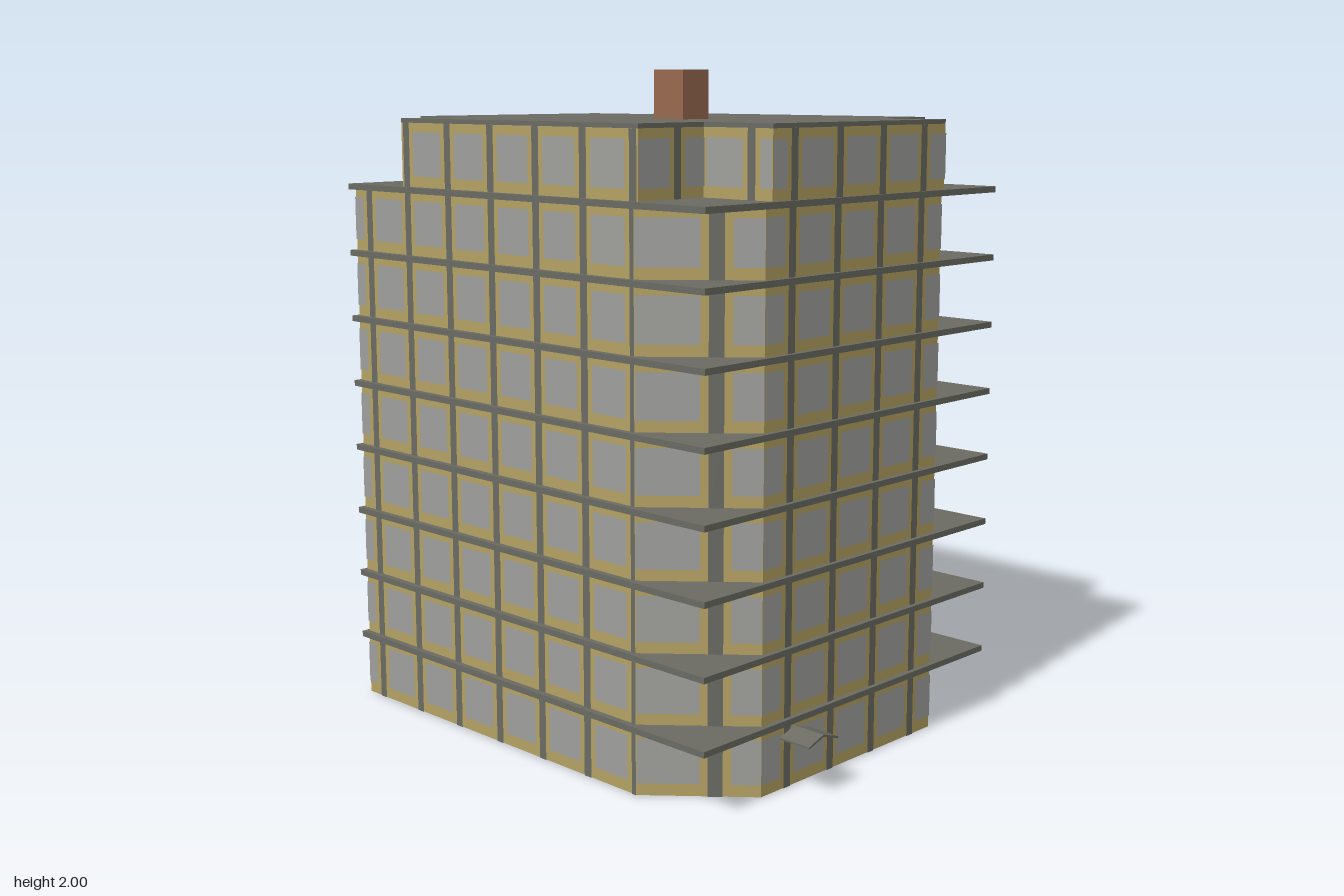
import * as THREE from 'three';

export function createModel() {
  const model = new THREE.Group();
  const mat = (name, color) => {
    const m = new THREE.MeshStandardMaterial({ color });
    m.name = name;
    return m;
  };
  const ochre = mat('ochre wall', 0xb5a264);
  const glass = mat('window grey', 0xa0a09d);
  const grey = mat('concrete grey', 0x6b6b64);
  const brick = mat('brick', 0x9a6a50);

  const add = (geometry, material, name, parent = model) => {
    const mesh = new THREE.Mesh(geometry, material);
    mesh.name = name;
    parent.add(mesh);
    return mesh;
  };
  const box = (x0, x1, y0, y1, z0, z1, material, name) =>
    add(new THREE.BoxGeometry(x1 - x0, y1 - y0, z1 - z0), material, name)
      .position.set((x0 + x1) / 2, (y0 + y1) / 2, (z0 + z1) / 2);

  // Upright prism over a floor plan of [x, z] points
  const prism = (plan, y0, y1, material, name) => {
    const shape = new THREE.Shape(plan.map(([x, z]) => new THREE.Vector2(x, -z)));
    const g = new THREE.ExtrudeGeometry(shape, { depth: y1 - y0, bevelEnabled: false });
    g.rotateX(-Math.PI / 2).translate(0, y0, 0);
    add(g, material, name);
  };

  const storey = 0.2064;
  const pillarHalf = 0.014, windowHalf = 0.066;

  // Pillars and windows of one storey, laid out along x or z and clipped to the wall
  const facade = (a, b, y0, y1, parent) => {
    const dx = b[0] - a[0], dz = b[1] - a[1], len = Math.hypot(dx, dz);
    const axis = Math.abs(dx) > Math.abs(dz) - 0.03 ? 0 : 1;
    const pitch = axis ? 0.194 : 0.19;
    const start = axis ? 0.05 : 0.095;
    const nx = -dz / len, nz = dx / len;
    const lo = Math.min(a[axis], b[axis]), hi = Math.max(a[axis], b[axis]);
    const panel = (centre, half, p0, p1, material, name) => {
      const u0 = Math.max(lo, centre - half), u1 = Math.min(hi, centre + half);
      if (u1 - u0 < 0.008) return;
      const span = b[axis] - a[axis];
      const t = ((u0 + u1) / 2 - a[axis]) / span;
      const width = (u1 - u0) * len / Math.abs(span);
      const m = add(new THREE.PlaneGeometry(width, p1 - p0), material, name, parent);
      m.position.set(a[0] + dx * t + nx * 0.003, (p0 + p1) / 2, a[1] + dz * t + nz * 0.003);
      m.rotation.y = Math.atan2(nx, nz);
    };
    for (let k = -6; k <= 5; k++) {
      const c = start + k * pitch;
      panel(c, pillarHalf, y0, y1, grey, 'pillar');
      panel(c + pitch / 2, windowHalf, y0 + 0.036, y0 + 0.168, glass, 'window');
    }
  };
  const facades = (plan, y0, y1, name) => {
    const group = new THREE.Group();
    group.name = name;
    model.add(group);
    plan.forEach((p, i) => facade(p, plan[(i + 1) % plan.length], y0, y1, group));
  };

  // Main tower with chamfered front corners
  const tower = [[-0.39, 0.7], [0.385, 0.7], [0.625, 0.44], [0.625, -0.8], [-0.62, -0.8], [-0.62, 0.44]];
  prism(tower, 0.003, 1.645, ochre, 'towerWalls');
  for (let i = 0; i < 8; i++) {
    const top = (i + 1) * storey - 0.006;
    facades(tower, Math.max(0.003, i * storey), top, 'storeyFacade');
    box(-0.64, 0.637, top - 0.009, top + 0.009, -0.81, 0.717, grey, 'floorSlab');
  }

  // Stripes under the tower, in line with the pillars
  for (let k = -3; k <= 2; k++) {
    const x = 0.095 + k * 0.19;
    const front = Math.abs(x) > 0.39 ? 0.6 : 0.7;
    const stripe = add(new THREE.PlaneGeometry(0.028, front + 0.8), grey, 'undersideStripe');
    stripe.rotation.x = Math.PI / 2;
    stripe.position.set(x, 0, (front - 0.8) / 2);
  }

  // Cross-shaped top storey and its roof
  const cross = [
    [-0.37, 0.705], [0.39, 0.705], [0.39, 0.455], [0.628, 0.455], [0.628, -0.558], [0.39, -0.558],
    [0.39, -0.788], [-0.37, -0.788], [-0.37, -0.558], [-0.62, -0.558], [-0.62, 0.455], [-0.37, 0.455],
  ];
  prism(cross, 1.65, 1.845, ochre, 'topStoreyWalls');
  facades(cross, 1.65, 1.845, 'topStoreyFacade');
  prism(cross, 1.845, 1.858, grey, 'roof');

  // Chimney
  box(-0.168, -0.06, 1.855, 2, 0.063, 0.18, brick, 'chimney');

  // Peaked entrance canopy
  const canopy = new THREE.Shape([
    [-0.315, 0.152], [-0.255, 0.172], [-0.192, 0.152], [-0.192, 0.158], [-0.255, 0.179], [-0.315, 0.158],
  ].map(([x, y]) => new THREE.Vector2(x, y)));
  const canopyGeometry = new THREE.ExtrudeGeometry(canopy, { depth: 0.11, bevelEnabled: false });
  canopyGeometry.translate(0, 0, 0.7);
  add(canopyGeometry, grey, 'entranceCanopy');

  return model;
}
